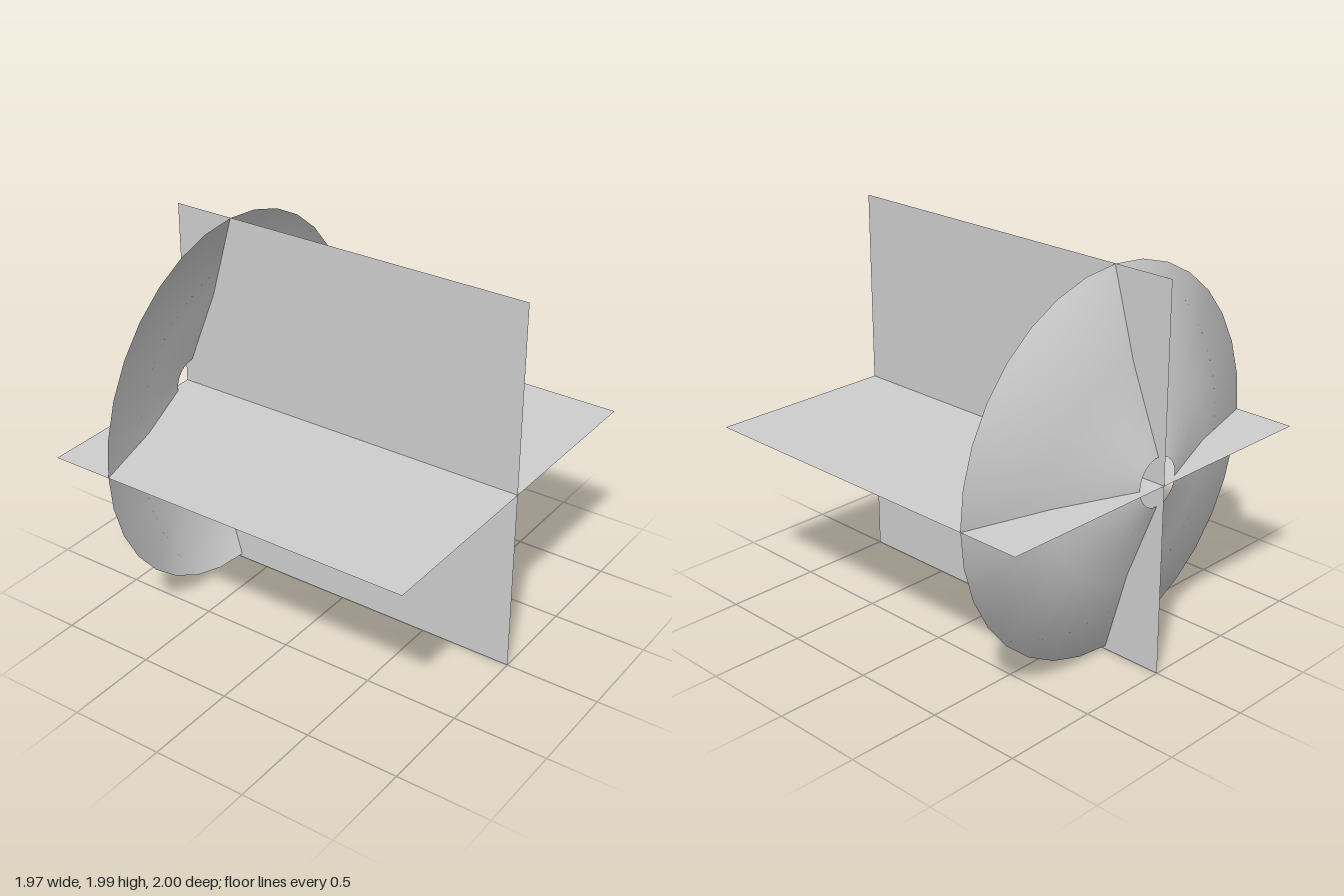
import * as THREE from 'three';

const MATERIAL = new THREE.MeshStandardMaterial({ color: 0xcccccc, side: THREE.DoubleSide });
const CENTRE_Y = 0.995;

// Shallow dish with a central hole, opening towards the front
function makeDish() {
  const profile = [[0.125, -0.96], [0.545, -0.795], [0.985, -0.67]]
    .map(([radius, depth]) => new THREE.Vector2(radius, depth));
  const geometry = new THREE.LatheGeometry(profile, 32);

  // Roll the smooth shading forward around the outer rim
  const { position, normal } = geometry.attributes;
  const rim = profile.length - 1;
  for (let i = rim; i < position.count; i += profile.length) {
    const angle = Math.atan2(position.getX(i), position.getZ(i));
    normal.setXYZ(i, 0.94 * Math.sin(angle), 0.35, 0.94 * Math.cos(angle));
  }

  geometry.rotateX(Math.PI / 2); // lathe axis onto z
  const dish = new THREE.Mesh(geometry, MATERIAL);
  dish.name = 'dish';
  dish.position.y = 1.003;
  return dish;
}

// Thin flat sheet running the full depth of the model
function makeSheet(name, width) {
  const geometry = new THREE.PlaneGeometry(width, 2).rotateX(-Math.PI / 2);
  const sheet = new THREE.Mesh(geometry, MATERIAL);
  sheet.name = name;
  sheet.position.y = CENTRE_Y;
  return sheet;
}

export function createModel() {
  const model = new THREE.Group();
  model.name = 'crossedSheetsWithDish';

  // Two sheets crossing at right angles along the dish axis
  const horizontalSheet = makeSheet('horizontalSheet', 1.97);
  const verticalSheet = makeSheet('verticalSheet', 1.99);
  verticalSheet.rotation.z = Math.PI / 2;

  model.add(horizontalSheet, verticalSheet, makeDish());
  return model;
}
